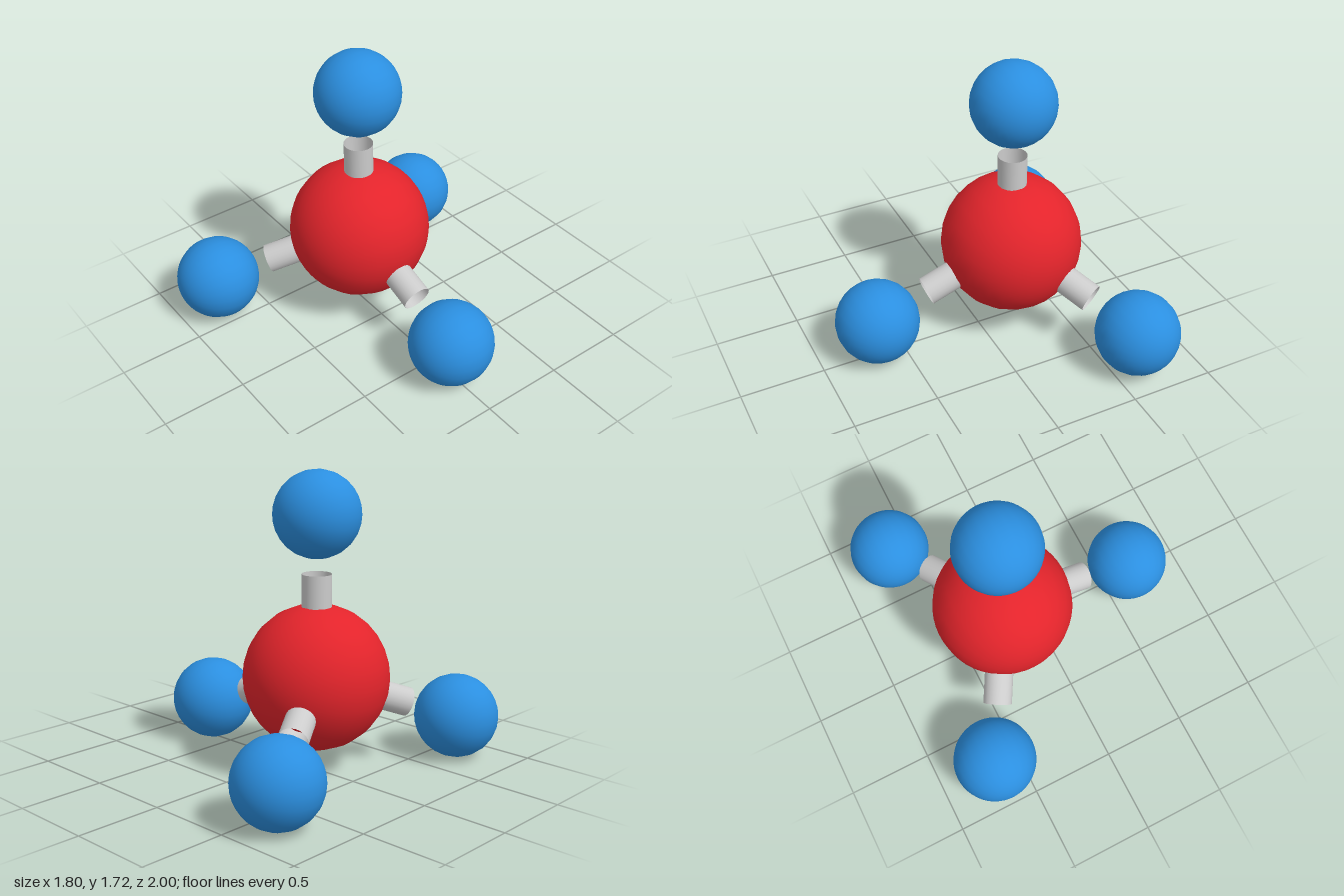
import * as THREE from 'three';

const RED = new THREE.MeshStandardMaterial({ color: 0xe3242b });
const BLUE = new THREE.MeshStandardMaterial({ color: 0x2b8fe0 });
const GREY = new THREE.MeshStandardMaterial({ color: 0xcccccc, side: THREE.DoubleSide });

// Smooth ball with its poles along z
function ball(name, radius, material, position) {
  const geometry = new THREE.SphereGeometry(radius, 24, 24).rotateX(Math.PI / 2);
  const mesh = new THREE.Mesh(geometry, material);
  mesh.name = name;
  mesh.position.copy(position);
  return mesh;
}

// Open tube between two distances from the centre along a direction
function stub(name, centre, direction, from, to) {
  const geometry = new THREE.CylinderGeometry(0.085, 0.085, to - from, 24, 1, true);
  const mesh = new THREE.Mesh(geometry, GREY);
  mesh.name = name;
  mesh.quaternion.setFromUnitVectors(new THREE.Vector3(0, 1, 0), direction);
  mesh.position.copy(centre).addScaledVector(direction, (from + to) / 2);
  return mesh;
}

export function createModel() {
  const group = new THREE.Group();
  group.name = 'tetrahedralMolecule';

  // Central atom
  const centre = new THREE.Vector3(-0.217, 0.557, 0);
  group.add(ball('centralAtom', 0.417, RED, centre));

  // Four tetrahedral directions: one up, three spread evenly below
  const arms = [['top', new THREE.Vector3(0, 1, 0)]];
  ['left', 'backRight', 'frontRight'].forEach((name, i) => {
    const a = (i * Math.PI * 2) / 3;
    const r = Math.sqrt(8) / 3;
    arms.push([name, new THREE.Vector3(r * Math.cos(a), -1 / 3, -r * Math.sin(a))]);
  });

  // Each arm has a short bond and a detached outer atom
  for (const [name, direction] of arms) {
    group.add(stub(name + 'Bond', centre, direction, 0.3, 0.59));
    const position = centre.clone().addScaledVector(direction, 0.922);
    group.add(ball(name + 'Atom', 0.247, BLUE, position));
  }
  return group;
}
